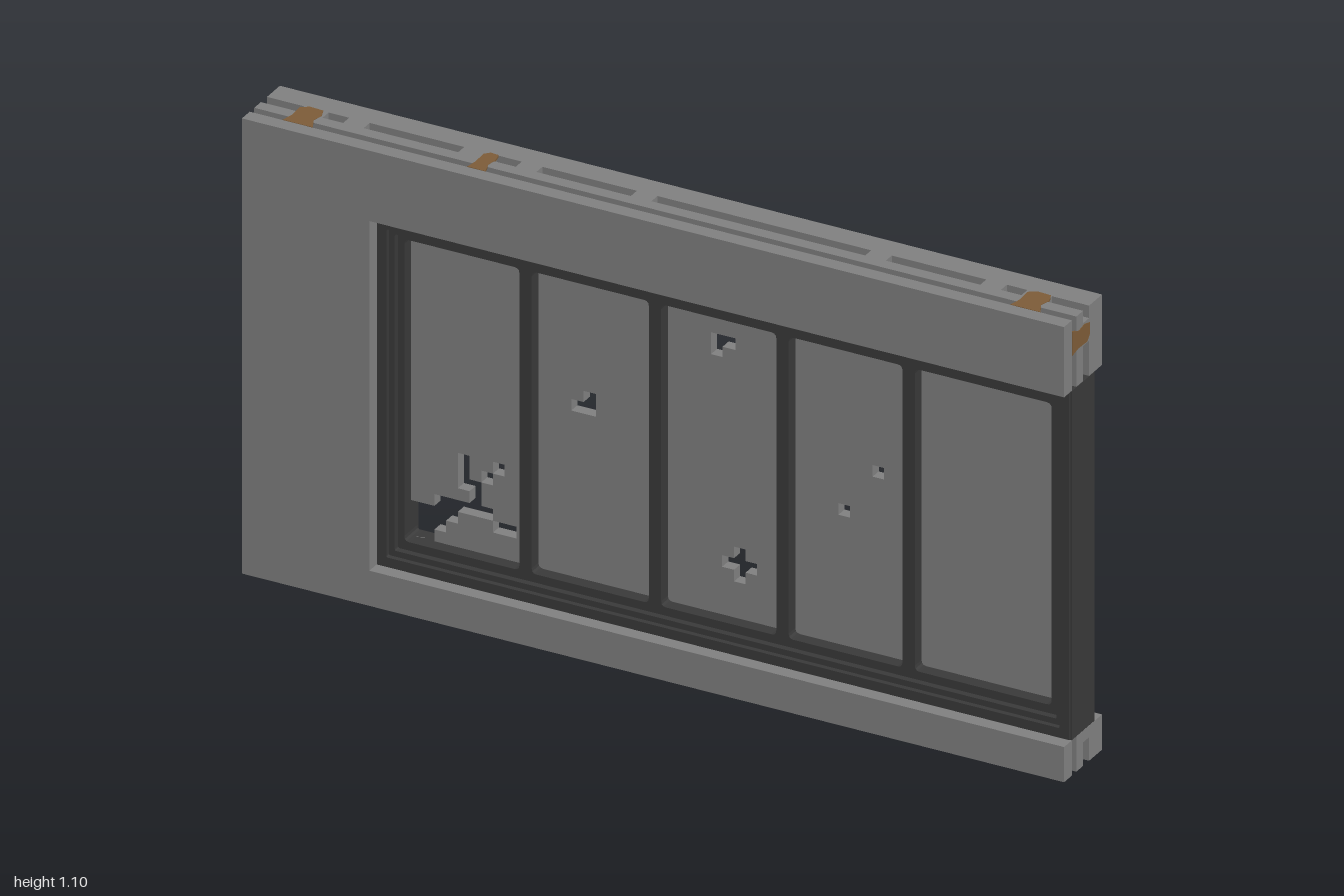
import * as THREE from 'three';
import { mergeGeometries } from 'three/addons/utils/BufferGeometryUtils.js';

const mat = (name, color) => {
  const m = new THREE.MeshStandardMaterial({ color });
  m.name = name;
  return m;
};

export function createModel() {
  const grey = mat('wall grey', 0x808080);
  const dark = mat('frame charcoal', 0x393939);
  const brown = mat('core brown', 0x7d5c38);
  const group = new THREE.Group();

  const add = (name, geometry, material) => {
    const m = new THREE.Mesh(geometry, material);
    m.name = name;
    group.add(m);
    return m;
  };
  // Box given by its limits
  const box = (x0, x1, y0, y1, z0, z1) =>
    new THREE.BoxGeometry(x1 - x0, y1 - y0, z1 - z0)
      .translate((x0 + x1) / 2, (y0 + y1) / 2, (z0 + z1) / 2);
  const slab = (shape, z0, z1) =>
    new THREE.ExtrudeGeometry(shape, { depth: z1 - z0, bevelEnabled: false, curveSegments: 3 })
      .translate(0, 0, z0);
  const poly = pts => new THREE.Shape(pts.map(p => new THREE.Vector2(p[0], p[1])));

  // Wall: layers around an opening that runs out through the left end
  const H = 1.1, X0 = -0.69, Y0 = 0.085, Y1 = 0.93, D = 0.03;
  const wallShape = d => poly([
    [-1 + d, d], [1 - d, d], [1 - d, Y0], [X0, Y0],
    [X0, Y1], [1 - d, Y1], [1 - d, H - d], [-1 + d, H - d],
  ]);
  add('backWallPanel', slab(wallShape(0), -0.085, -0.027), grey);
  add('slotCore', slab(wallShape(D), -0.027, 0), brown);
  add('middleWallPanel', slab(wallShape(0), 0, 0.03), grey);
  add('grooveCore', slab(wallShape(D), 0.03, 0.05), brown);
  add('frontWallPanel', slab(wallShape(0), 0.05, 0.085), grey);

  // Blocks between the slots in the outer edges
  const fills = [];
  const fill = (x0, x1, y0, y1) => fills.push(box(x0, x1, y0, y1, -0.027, 0));
  for (const [a, b] of [[-0.91, -0.85], [-0.8, -0.75], [-0.52, -0.44], [-0.38, -0.33],
    [-0.1, -0.05], [0.47, 0.52], [0.75, 0.8], [0.85, 0.91]]) {
    fill(a, b, H - D, H);
    fill(a, b, 0, D);
  }
  for (const [a, b] of [[0.06, 0.13], [0.33, 0.45], [0.65, 0.77], [1.015, 1.07]]) {
    fill(-1, -1 + D, a, b);
  }
  fill(1 - D, 1, 1.015, 1.07);
  fill(1 - D, 1, 0.057, Y0);
  add('slotDividers', mergeGeometries(fills), grey);

  // Worn brown patches on the edges, u along the edge, v across the wall
  const patchShape = poly([[-0.035, 0.05], [-0.028, 0.022], [-0.03, -0.018], [-0.012, -0.03],
    [0.022, -0.028], [0.03, -0.005], [0.024, 0.02], [0.038, 0.05]]);
  const patch = (edge, at, s = 1) => {
    const g = slab(patchShape, -0.004, 0.001).scale(s, 1, 1);
    if (edge === 'top') g.rotateX(-Math.PI / 2).scale(1, 1, -1).translate(at, H, 0);
    if (edge === 'bottom') g.rotateX(Math.PI / 2).translate(at, 0, 0);
    if (edge === 'right') g.rotateY(-Math.PI / 2).rotateX(-Math.PI / 2).scale(1, 1, -1).translate(-1, at, 0);
    if (edge === 'left') g.rotateY(Math.PI / 2).rotateX(Math.PI / 2).translate(1, at, 0);
    // Restore corner order after mirroring
    if (edge === 'top' || edge === 'right') {
      const p = g.attributes.position;
      for (let i = 0; i < p.count; i += 3) {
        const a = new THREE.Vector3().fromBufferAttribute(p, i);
        const b = new THREE.Vector3().fromBufferAttribute(p, i + 1);
        p.setXYZ(i, b.x, b.y, b.z);
        p.setXYZ(i + 1, a.x, a.y, a.z);
      }
      g.computeVertexNormals();
    }
    add(edge + 'EdgePatch', g, brown);
  };
  for (const [x, s] of [[-0.885, 1], [-0.45, 0.6], [0.885, 1]]) patch('top', x, s);
  for (const x of [-0.885, -0.43, 0.25, 0.885]) patch('bottom', x);
  for (const y of [0.085, 0.395, 0.71, 1.05]) patch('right', y, 0.8);
  patch('left', 1.042, 0.8);

  // Window frame: stepped rings
  const rect = (x0, x1, y0, y1, c = 0, Type = THREE.Shape) => {
    const s = new Type();
    s.moveTo(x0 + c, y0);
    s.lineTo(x1 - c, y0);
    s.quadraticCurveTo(x1, y0, x1, y0 + c);
    s.lineTo(x1, y1 - c);
    s.quadraticCurveTo(x1, y1, x1 - c, y1);
    s.lineTo(x0 + c, y1);
    s.quadraticCurveTo(x0, y1, x0, y1 - c);
    s.lineTo(x0, y0 + c);
    s.quadraticCurveTo(x0, y0, x0 + c, y0);
    return s;
  };
  const ring = (i, o, z) => {
    const s = rect(X0 + i, 1 - i, Y0 + i, Y1 - i, 0.001);
    s.holes.push(rect(X0 + o, 1 - o, Y0 + o, Y1 - o, 0.004, THREE.Path));
    return slab(s, -z, z);
  };
  add('frameCasing', ring(0, 0.006, 0.05), dark);
  add('outerFrame', ring(0.003, 0.026, 0.057), dark);
  add('innerFrame', ring(0.024, 0.04, 0.045), dark);

  // Mullion grids: softly rounded in front, chamfered behind
  const L = -0.635, R = 0.94, B = 0.145, T = 0.875, W = 0.015;
  const bars = [-0.34, -0.025, 0.285, 0.592];
  const left = [L, ...bars.map(x => x + W)];
  const right = [...bars.map(x => x - W), R];
  const front = rect(X0 + 0.03, 0.97, Y0 + 0.03, Y1 - 0.03, 0.001);
  const back = rect(X0 + 0.03, 0.97, Y0 + 0.03, Y1 - 0.03, 0.001);
  left.forEach((a, i) => {
    const b = right[i], c = 0.03, k = i === 0 ? 0.002 : c;
    front.holes.push(rect(a, b, B, T, 0.012, THREE.Path));
    back.holes.push(new THREE.Path([[a + k, B], [b - c, B], [b, B + c], [b, T - c],
      [b - c, T], [a + c, T], [a, T - c], [a, B + k]].map(p => new THREE.Vector2(...p))));
  });
  add('frontMullions', slab(front, -0.028, 0.03), dark);
  add('backMullions', slab(back, -0.033, -0.028), dark);

  // Panes with stepped breaks: [x, y, columns, rows] in cells
  const U = 0.0285;
  const breaks = [
    [0, 0, 2, 1], [0, 1, 3, 1], [0, 2, 4, 1], [2, 3, 5, 1], [7, 2, 2, 1],
    [5, 4, 1, 2], [4, 5, 1, 3], [6, 6, 1, 1], [7, 7, 1, 1],
  ].map(([c, r, w, h]) => [L + c * U, B + r * U, w * U, h * U]);
  breaks.push(
    [-0.245, 0.545, 0.06, 0.028], [-0.215, 0.573, 0.03, 0.027],
    [0.095, 0.792, 0.06, 0.028], [0.095, 0.767, 0.028, 0.025],
    [0.122, 0.26, 0.085, 0.028], [0.151, 0.232, 0.028, 0.084],
    [0.488, 0.57, 0.028, 0.028], [0.405, 0.457, 0.028, 0.028],
  );
  // Slice into bands and cut the broken spans from each
  const levels = [B - 0.01, T + 0.01];
  breaks.forEach(([, y, , h]) => levels.push(y, y + h));
  levels.sort((a, b) => a - b);
  const pieces = [];
  for (let i = 0; i + 1 < levels.length; i++) {
    const y0 = levels[i], y1 = levels[i + 1], mid = (y0 + y1) / 2;
    if (y1 - y0 < 1e-5) continue;
    let x = L;
    const cuts = breaks.filter(b => mid > b[1] && mid < b[1] + b[3]).sort((a, b) => a[0] - b[0]);
    for (const c of [...cuts, [R + 0.01, 0, 0, 0]]) {
      if (c[0] - x > 1e-5) pieces.push(box(x, c[0], y0, y1, -0.0275, 0));
      x = Math.max(x, c[0] + c[2]);
    }
  }
  add('brokenPanes', mergeGeometries(pieces), grey);

  return group;
}
